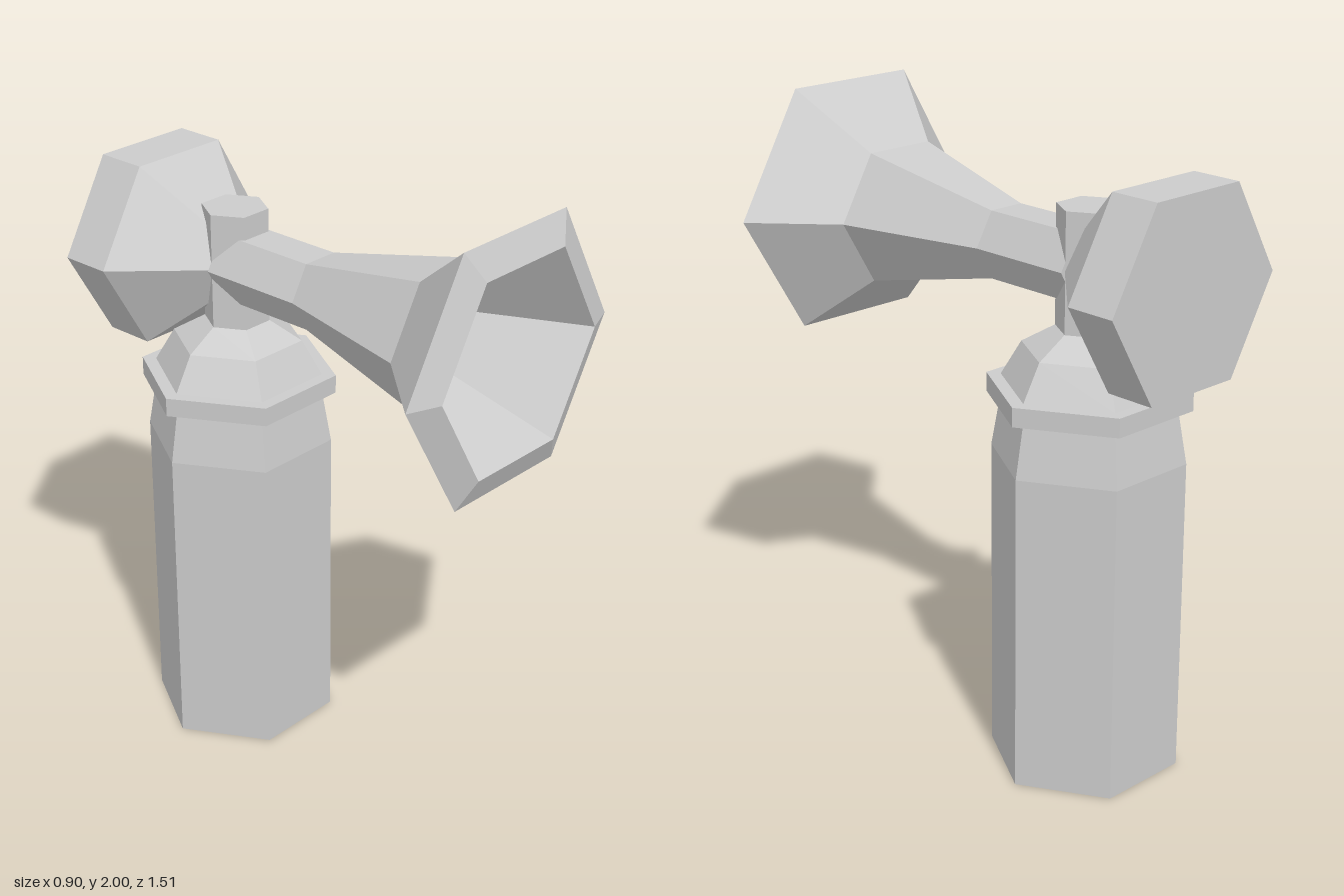
import * as THREE from 'three';

const SIDES = 6;
const AXIS_Z = -0.353;  // canister axis
const HORN_Y = 1.611;   // horn axis height
const material = new THREE.MeshStandardMaterial({ color: 0xcccccc, flatShading: true });

// Six-sided turned solid from [radius, height] pairs, corners on +x and -x.
function hexTurned(name, profile) {
  const points = profile.map(([r, y]) => new THREE.Vector2(r, y));
  const geometry = new THREE.LatheGeometry(points, SIDES, Math.PI / 2).toNonIndexed();
  geometry.computeVertexNormals();
  const mesh = new THREE.Mesh(geometry, material);
  mesh.name = name;
  return mesh;
}

export function createModel() {
  const model = new THREE.Group();
  model.name = 'airHorn';

  // Upright parts share the canister axis
  const upright = new THREE.Group();
  upright.name = 'canisterAssembly';
  upright.position.z = AXIS_Z;
  upright.add(
    hexTurned('canister', [[0, 0], [0.302, 0], [0.302, 1.02], [0.272, 1.19], [0, 1.19]]),
    hexTurned('collar', [[0, 1.19], [0.317, 1.19], [0.317, 1.25], [0, 1.25]]),
    hexTurned('valveDome', [[0, 1.25], [0.272, 1.25], [0.208, 1.36], [0.105, 1.42], [0, 1.42]]),
    hexTurned('stem', [[0, 1.42], [0.105, 1.42], [0.105, 1.79], [0, 1.79]]),
  );
  model.add(upright);

  // Parts along the horn axis: profile height becomes z
  const sounding = new THREE.Group();
  sounding.name = 'hornAssembly';
  sounding.position.y = HORN_Y;
  sounding.rotation.x = Math.PI / 2;
  sounding.add(
    // Flared outside, bevelled rim, then a deep hollow cone
    hexTurned('horn', [
      [0, AXIS_Z], [0.122, AXIS_Z], [0.122, 0], [0.238, 0.482],
      [0.449, 0.715], [0.345, 0.755], [0, 0.02],
    ]),
    // Closed drum behind the stem
    hexTurned('rearDrum', [
      [0, -0.755], [0.337, -0.755], [0.337, -0.59], [0.107, AXIS_Z], [0, AXIS_Z],
    ]),
  );
  model.add(sounding);

  return model;
}
